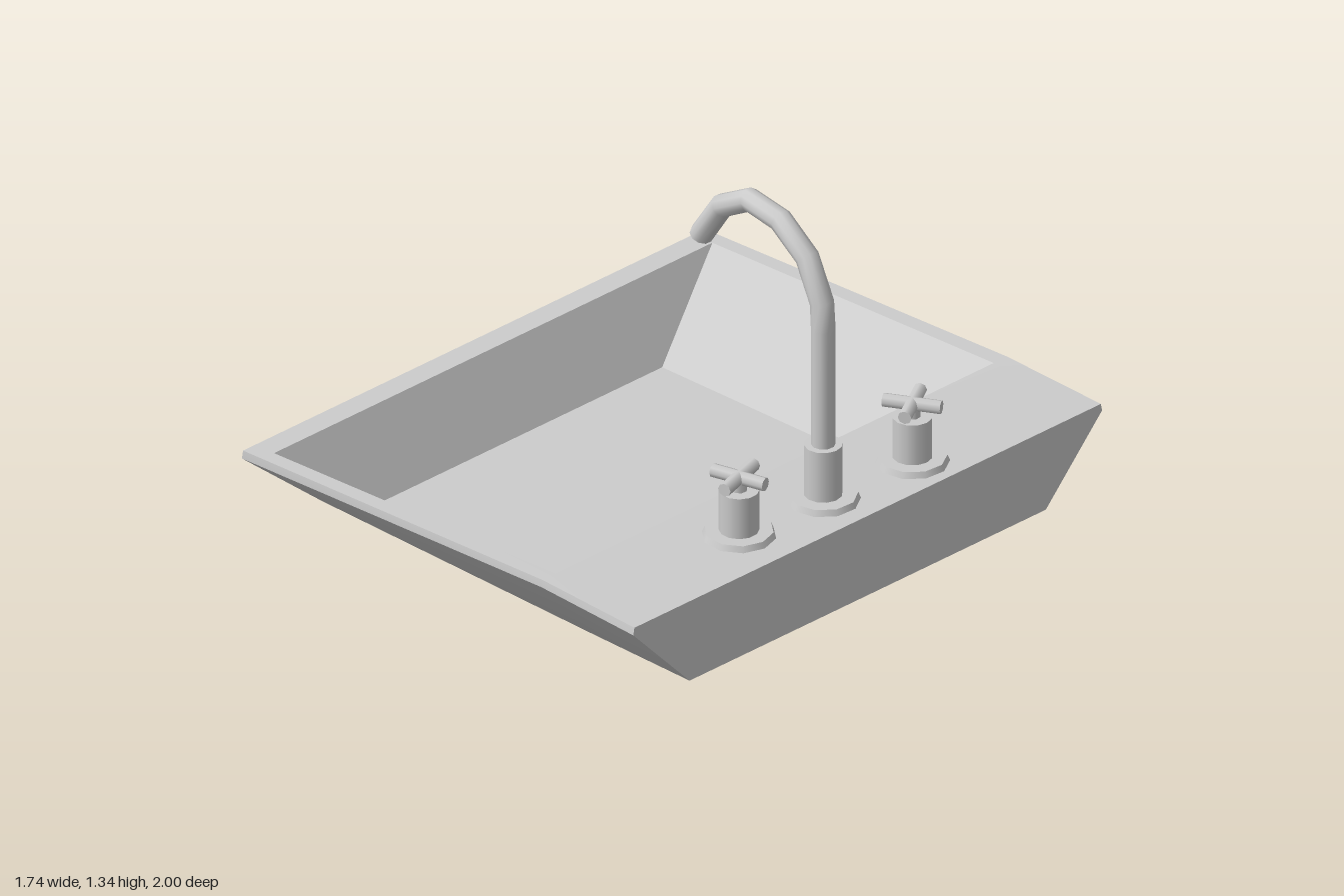
import * as THREE from 'three';
import { toCreasedNormals } from 'three/addons/utils/BufferGeometryUtils.js';

const material = new THREE.MeshStandardMaterial({ color: 0xcccccc });

function addMesh(parent, name, geometry, x = 0, y = 0, z = 0) {
  const mesh = new THREE.Mesh(geometry, material);
  mesh.name = name;
  mesh.position.set(x, y, z);
  parent.add(mesh);
  return mesh;
}

// Six-point loop: three [x, y, z] stations along -z, mirrored to +z
function ring(stations) {
  return [
    ...stations.map(([x, y, z]) => [x, y, -z]),
    ...stations.slice().reverse(),
  ];
}

// Skin between successive loops, with one end loop closed
function shellGeometry(rings, capFirst, crease) {
  const pos = [];
  const tri = (a, b, c) => pos.push(...a, ...b, ...c);
  for (let r = 0; r < rings.length - 1; r++) {
    const a = rings[r], b = rings[r + 1];
    for (let i = 0; i < 6; i++) {
      const j = (i + 1) % 6;
      tri(a[i], b[i], b[j]);
      tri(a[i], b[j], a[j]);
    }
  }
  const cap = capFirst ? rings[0] : rings[rings.length - 1].slice().reverse();
  for (let i = 1; i < 5; i++) tri(cap[0], cap[i], cap[i + 1]);
  const geometry = new THREE.BufferGeometry();
  geometry.setAttribute('position', new THREE.Float32BufferAttribute(pos, 3));
  return toCreasedNormals(geometry, crease);
}

function makeBasin() {
  const basin = new THREE.Group();
  basin.name = 'basin';
  const rim = ring([[-0.865, 0.31, 0.985], [0.46, 0.4, 0.992], [0.87, 0.4, 0.995]]);
  // Outside, from the base up to the rim
  addMesh(basin, 'outerShell', shellGeometry([
    ring([[-0.55, 0, 0.53], [0.45, 0, 0.53], [0.69, 0, 0.53]]),
    ring([[-0.75, 0.09, 0.76], [0.45, 0.11, 0.76], [0.87, 0.12, 0.76]]),
    ring([[-0.87, 0.28, 0.985], [0.46, 0.375, 0.995], [0.87, 0.375, 1]]),
    rim,
  ], true, 0.63));
  // Rim, deck and bowl; the bowl ends in an upright wall at the deck
  addMesh(basin, 'deckAndBowl', shellGeometry([
    rim,
    ring([[-0.78, 0.316, 0.935], [0.46, 0.4, 0.935], [0.46, 0.4, 0.935]]),
    ring([[-0.65, 0.065, 0.595], [0.46, 0.115, 0.595], [0.46, 0.115, 0.595]]),
  ], false, 0.15));
  return basin;
}

// Flange and round body shared by the spout and both handles
function addPost(parent, radius, height) {
  addMesh(parent, 'flange', new THREE.CylinderGeometry(0.108, 0.116, 0.02, 10), 0, 0.01, 0);
  addMesh(parent, 'post', new THREE.CylinderGeometry(radius, radius, height, 12), 0, height / 2, 0);
}

function makeHandle(name, z, turn) {
  const handle = new THREE.Group();
  handle.name = name;
  handle.position.z = z;
  handle.rotation.y = turn;
  addPost(handle, 0.063, 0.16);
  addMesh(handle, 'stem', new THREE.CylinderGeometry(0.026, 0.026, 0.06, 8), 0, 0.18, 0);
  for (const angle of [0, Math.PI / 2]) {
    const bar = addMesh(handle, 'crossBar', new THREE.CylinderGeometry(0.022, 0.022, 0.185, 8), 0, 0.203, 0);
    bar.rotation.set(Math.PI / 2, angle, 0, 'YXZ');
  }
  return handle;
}

// Path with straight pieces, one tube segment per piece
class Polyline extends THREE.Curve {
  constructor(points) {
    super();
    this.points = points;
  }
  getPoint(t, target = new THREE.Vector3()) {
    const last = this.points.length - 1;
    const i = Math.min(Math.floor(t * last), last - 1);
    return target.lerpVectors(this.points[i], this.points[i + 1], t * last - i);
  }
  getUtoTmapping(u) {
    return u;
  }
}

function makeSpout() {
  const spout = new THREE.Group();
  spout.name = 'spout';
  addPost(spout, 0.06, 0.195);
  // Riser and faceted gooseneck in one pipe
  const points = [
    [0, 0.1], [0, 0.6], [-0.006, 0.69], [-0.075, 0.82], [-0.2, 0.897],
    [-0.345, 0.907], [-0.475, 0.83], [-0.57, 0.692], [-0.573, 0.685],
  ].map(([x, y]) => new THREE.Vector3(x, y, 0));
  const path = new Polyline(points);
  addMesh(spout, 'pipe', new THREE.TubeGeometry(path, points.length - 1, 0.038, 10));
  const outlet = addMesh(spout, 'outlet', new THREE.CircleGeometry(0.038, 10));
  outlet.position.copy(path.getPoint(1));
  outlet.lookAt(outlet.position.clone().add(path.getTangent(1)));
  return spout;
}

export function createModel() {
  const model = new THREE.Group();
  model.name = 'sink';
  model.add(makeBasin());

  // Tap set stands on the deck, turned slightly
  const taps = new THREE.Group();
  taps.name = 'tapSet';
  taps.position.set(0.7, 0.4, 0.025);
  taps.rotation.y = -0.06;
  taps.add(makeSpout(), makeHandle('frontHandle', 0.34, 0.35), makeHandle('rearHandle', -0.36, 0.6));
  model.add(taps);
  return model;
}
